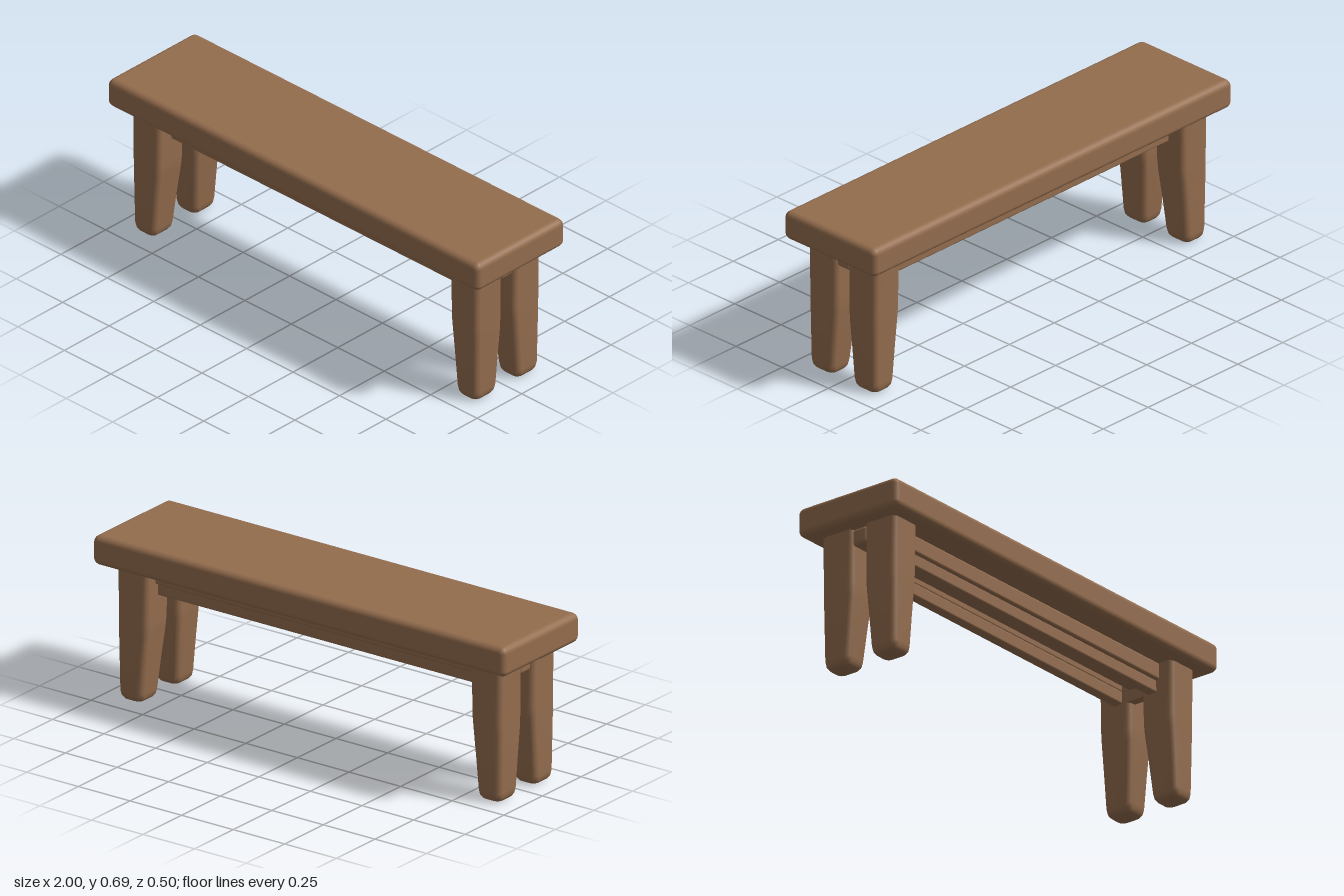
import * as THREE from 'three';
import { RoundedBoxGeometry } from 'three/addons/geometries/RoundedBoxGeometry.js';

const wood = new THREE.MeshStandardMaterial({ color: 0x946d4e });
wood.name = 'brown wood';

// Outline of a rounded rectangle centred on cx, cz
function ring(cx, cz, hx, hz, r, y, steps = 4) {
  const points = [];
  [[1, 1], [-1, 1], [-1, -1], [1, -1]].forEach(([sx, sz], corner) => {
    for (let i = 0; i <= steps; i++) {
      const a = (corner + i / steps) * Math.PI / 2;
      points.push([cx + sx * (hx - r) + r * Math.cos(a), y, cz + sz * (hz - r) + r * Math.sin(a)]);
    }
  });
  return points;
}

// Smooth skin over a stack of outlines, closed at the bottom
function loft(rings) {
  const n = rings[0].length;
  const positions = rings.flat(2);
  const index = [];
  for (let i = 0; i < rings.length - 1; i++) {
    for (let j = 0; j < n; j++) {
      const a = i * n + j, b = i * n + (j + 1) % n;
      index.push(a, a + n, b, b, a + n, b + n);
    }
  }
  for (let j = 1; j < n - 1; j++) index.push(0, j, j + 1);
  const geometry = new THREE.BufferGeometry();
  geometry.setAttribute('position', new THREE.Float32BufferAttribute(positions, 3));
  geometry.setIndex(index);
  geometry.computeVertexNormals();
  return geometry;
}

// Leg levels: height, inner x, outer x, inner z, outer z, corner radius
const legLevels = [
  [0, 0.84, 0.9, 0.08, 0.152, 0.018],
  [0.006, 0.825, 0.913, 0.066, 0.167, 0.024],
  [0.018, 0.816, 0.921, 0.058, 0.175, 0.026],
  [0.04, 0.812, 0.925, 0.054, 0.178, 0.026],
  [0.18, 0.8, 0.927, 0.042, 0.18, 0.026],
  [0.29, 0.789, 0.929, 0.032, 0.181, 0.026],
  [0.34, 0.785, 0.929, 0.03, 0.182, 0.026],
  [0.57, 0.781, 0.93, 0.03, 0.183, 0.026],
];

function legGeometry(sx, sz) {
  return loft(legLevels.map(([y, x0, x1, z0, z1, r]) =>
    ring(sx * (x0 + x1) / 2, sz * (z0 + z1) / 2, (x1 - x0) / 2, (z1 - z0) / 2, r, y)));
}

export function createModel() {
  const group = new THREE.Group();
  group.name = 'bench';

  const add = (name, geometry, x = 0, y = 0, z = 0) => {
    const mesh = new THREE.Mesh(geometry, wood);
    mesh.name = name;
    mesh.position.set(x, y, z);
    group.add(mesh);
  };

  // Thick plank with softened edges, its sides bulging slightly
  const seat = new RoundedBoxGeometry(2, 0.124, 0.5, 5, 0.026);
  const p = seat.attributes.position;
  for (let i = 0; i < p.count; i++) {
    const t = Math.abs(p.getY(i)) / 0.062;
    p.setZ(i, p.getZ(i) * (1 - 0.025 * t * t));
    p.setX(i, p.getX(i) * (1 - 0.003 * t * t));
  }
  add('seat', seat, 0, 0.627);

  for (const sx of [1, -1]) {
    const side = sx > 0 ? 'Left' : 'Right';
    // Four tapered legs, straight outside and narrowing inside
    for (const sz of [1, -1]) add(`${sz > 0 ? 'front' : 'back'}${side}Leg`, legGeometry(sx, sz));
    // Cross rail joining each pair of legs
    add(`crossRail${side}`, new RoundedBoxGeometry(0.04, 0.12, 0.2, 2, 0.006), sx * 0.805, 0.506);
  }

  // Stepped long rails along the front and back
  for (const sz of [1, -1]) {
    const side = sz > 0 ? 'front' : 'back';
    add(`${side}UpperRail`, new RoundedBoxGeometry(1.6, 0.072, 0.06, 3, 0.01), 0, 0.531, sz * 0.093);
    add(`${side}LowerRail`, new RoundedBoxGeometry(1.6, 0.055, 0.045, 3, 0.008), 0, 0.4725, sz * 0.085);
  }

  // Central beam whose rounded ends show between the legs
  add('centreBeam', new RoundedBoxGeometry(1.84, 0.072, 0.072, 3, 0.015), 0, 0.53);

  return group;
}
